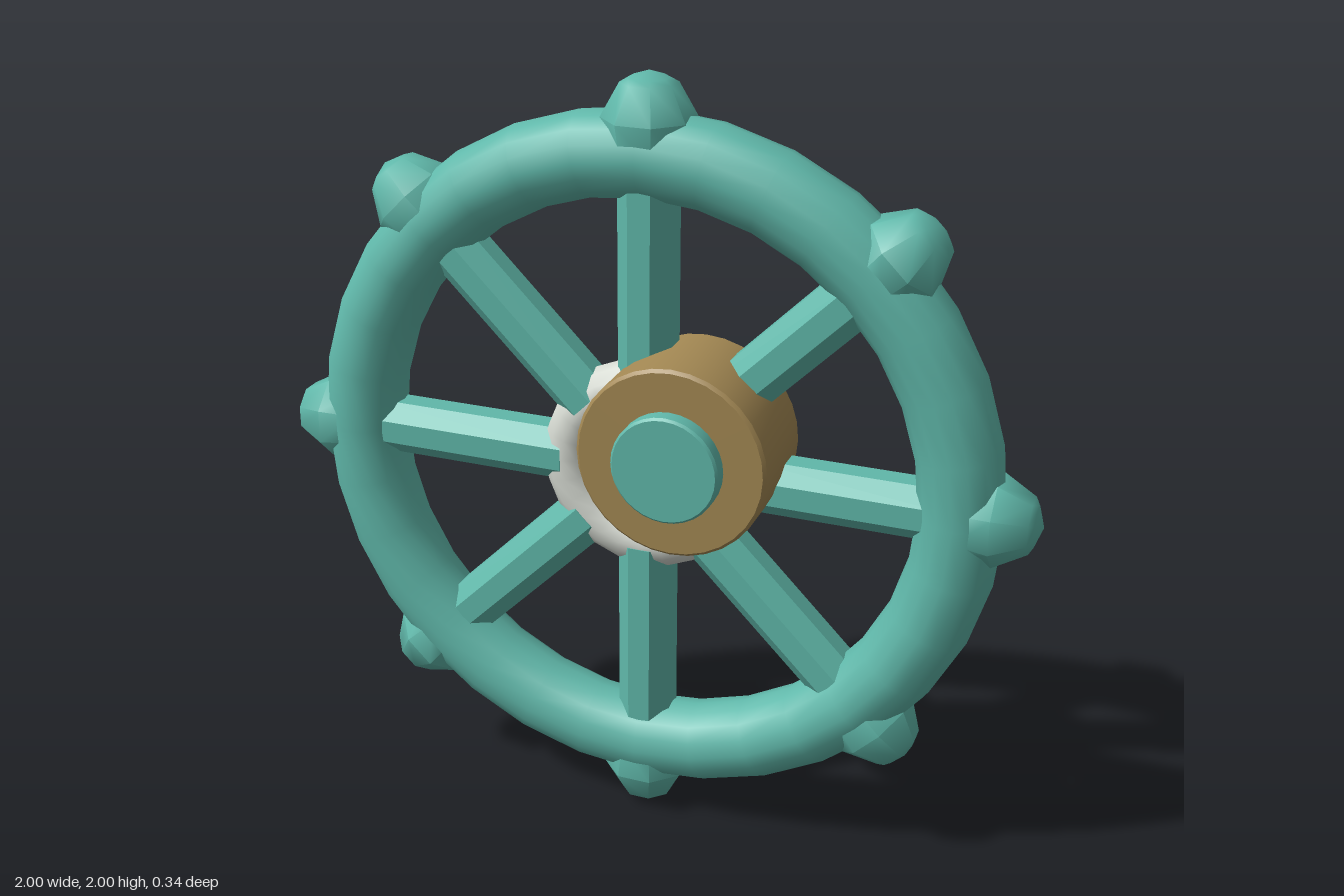
import * as THREE from 'three';
import { toCreasedNormals } from 'three/addons/utils/BufferGeometryUtils.js';

export function createModel() {
  const teal = new THREE.MeshStandardMaterial({ color: 0x60b8aa });
  const brown = new THREE.MeshStandardMaterial({ color: 0xa38853 });
  const paleGrey = new THREE.MeshStandardMaterial({ color: 0xd6dad2 });
  teal.name = 'teal';
  brown.name = 'brown';
  paleGrey.name = 'paleGrey';

  const model = new THREE.Group();
  model.name = 'handWheel';
  const add = (parent, name, geometry, material, x = 0, y = 0, z = 0) => {
    const mesh = new THREE.Mesh(geometry, material);
    mesh.name = name;
    mesh.position.set(x, y, z);
    parent.add(mesh);
    return mesh;
  };
  const lathe = (points, sides, start = 0) =>
    new THREE.LatheGeometry(points.map(([r, h]) => new THREE.Vector2(r, h)), sides, start);

  // Wheel: rim and hub ring share one centre
  const wheel = new THREE.Group();
  wheel.name = 'wheel';
  wheel.position.set(0, 1, -0.062);
  model.add(wheel);
  add(wheel, 'rim', new THREE.TorusGeometry(0.803, 0.107, 16, 32), teal);
  add(wheel, 'hubRing', new THREE.TorusGeometry(0.21, 0.07, 12, 24), paleGrey);

  // Eight octagonal spokes, each ending in a tapered knob outside the rim
  const spokeGeo = toCreasedNormals(
    new THREE.CylinderGeometry(0.076, 0.076, 0.58, 8, 1, false, Math.PI / 8), 0.5);
  const knobGeo = toCreasedNormals(lathe(
    [[0, 0.8], [0.1, 0.8], [0.116, 0.89], [0.07, 0.972], [0.05, 0.983], [0, 1]],
    8, Math.PI / 8), 0.9);
  for (let i = 0; i < 8; i++) {
    const arm = new THREE.Group();
    arm.name = 'arm';
    arm.rotation.z = i * Math.PI / 4;
    add(arm, 'spoke', spokeGeo, teal, 0, 0.505, 0);
    add(arm, 'rimKnob', knobGeo, teal);
    wheel.add(arm);
  }

  // Off-centre drum with a raised button, edges slightly bevelled
  const disc = (radius, back, front, bevel) => {
    const g = toCreasedNormals(lathe([
      [0, back], [radius - bevel, back], [radius, back + bevel],
      [radius, front - bevel], [radius - bevel, front], [0, front],
    ], 32), 0.5);
    return g.rotateX(Math.PI / 2);
  };
  add(model, 'drum', disc(0.245, -0.14, 0.125, 0.008), brown, 0.125, 1.095, 0);
  add(model, 'button', disc(0.138, 0.1, 0.167, 0.006), teal, 0.125, 1.095, 0);

  return model;
}
